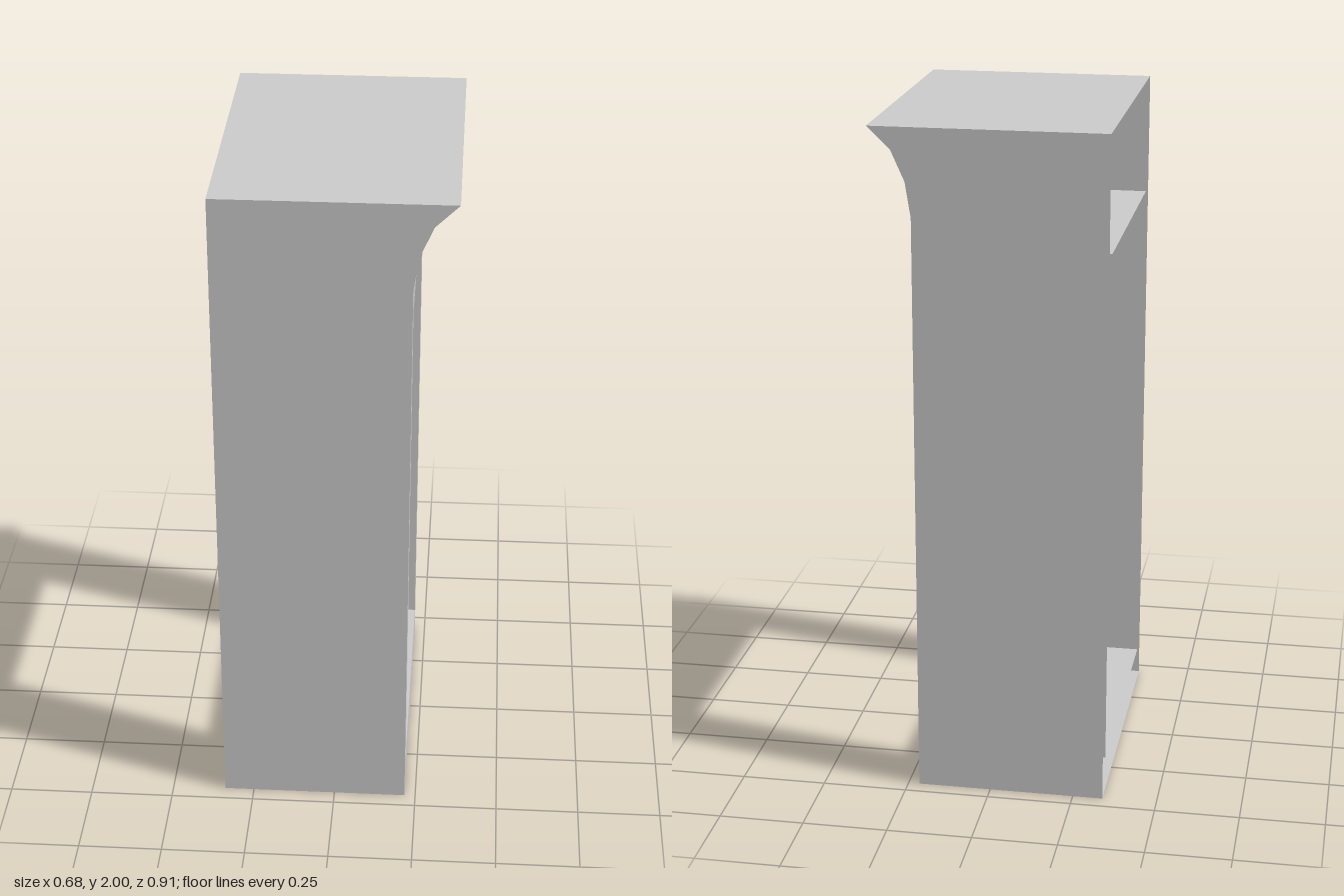
import * as THREE from 'three';

const BACK = -0.339, FACE = 0.217, LIP = 0.339, TOP = 2, HALF = 0.453;
const OPEN_HALF = 0.394, OPEN_LOW = 0.106, OPEN_HIGH = 1.653;

// Sheet swept across z along an (x, y) path; it faces the right of the path
function sheet(path, half) {
  const positions = [], index = [];
  path.forEach(([x, y], i) => {
    positions.push(x, y, half, x, y, -half);
    const a = 2 * i;
    if (i < path.length - 1) index.push(a, a + 1, a + 3, a, a + 3, a + 2);
  });
  const geometry = new THREE.BufferGeometry();
  geometry.setAttribute('position', new THREE.Float32BufferAttribute(positions, 3));
  geometry.setIndex(index);
  geometry.computeVertexNormals();
  return geometry;
}

const outline = (points) => new THREE.ShapeGeometry(
  new THREE.Shape(points.map(([x, y]) => new THREE.Vector2(x, y))));

export function createModel() {
  const group = new THREE.Group();
  const material = new THREE.MeshStandardMaterial({ color: 0xcccccc, side: THREE.DoubleSide });
  const add = (name, geometry) => {
    const mesh = new THREE.Mesh(geometry, material);
    mesh.name = name;
    group.add(mesh);
    return mesh;
  };

  // Flared cornice above the opening
  const cove = [[FACE, 1.745], [0.233, 1.847], [0.272, 1.935], [LIP, TOP]];
  add('cornice', sheet([[FACE, OPEN_HIGH], ...cove], HALF));

  // Thin roof and floor; the back stays open
  add('roof', sheet([[LIP, TOP], [BACK, TOP]], HALF));
  add('floor', sheet([[BACK, 0], [FACE, 0]], HALF));

  // U-shaped face around the opening
  const face = outline([
    [-HALF, 0], [HALF, 0], [HALF, OPEN_HIGH], [OPEN_HALF, OPEN_HIGH],
    [OPEN_HALF, OPEN_LOW], [-OPEN_HALF, OPEN_LOW], [-OPEN_HALF, OPEN_HIGH], [-HALF, OPEN_HIGH],
  ]);
  face.rotateY(Math.PI / 2).translate(FACE, 0, 0);
  add('openingFrame', face);

  // Tunnel lining from the opening to the back
  add('liningBottom', sheet([[FACE, OPEN_LOW], [BACK, OPEN_LOW]], OPEN_HALF));
  add('liningTop', sheet([[BACK, OPEN_HIGH], [FACE, OPEN_HIGH]], OPEN_HALF));

  // Profiled outer walls and the lining walls, mirrored in z
  for (const side of [1, -1]) {
    const wall = outline([[BACK, 0], [FACE, 0], ...cove, [BACK, TOP]]);
    if (side < 0) wall.scale(-1, 1, 1).rotateY(Math.PI);
    add('sideWall', wall).position.z = side * HALF;

    const lining = new THREE.PlaneGeometry(FACE - BACK, OPEN_HIGH - OPEN_LOW);
    if (side > 0) lining.rotateY(Math.PI);
    add('liningSide', lining).position.set((FACE + BACK) / 2, (OPEN_HIGH + OPEN_LOW) / 2, side * OPEN_HALF);
  }
  return group;
}
